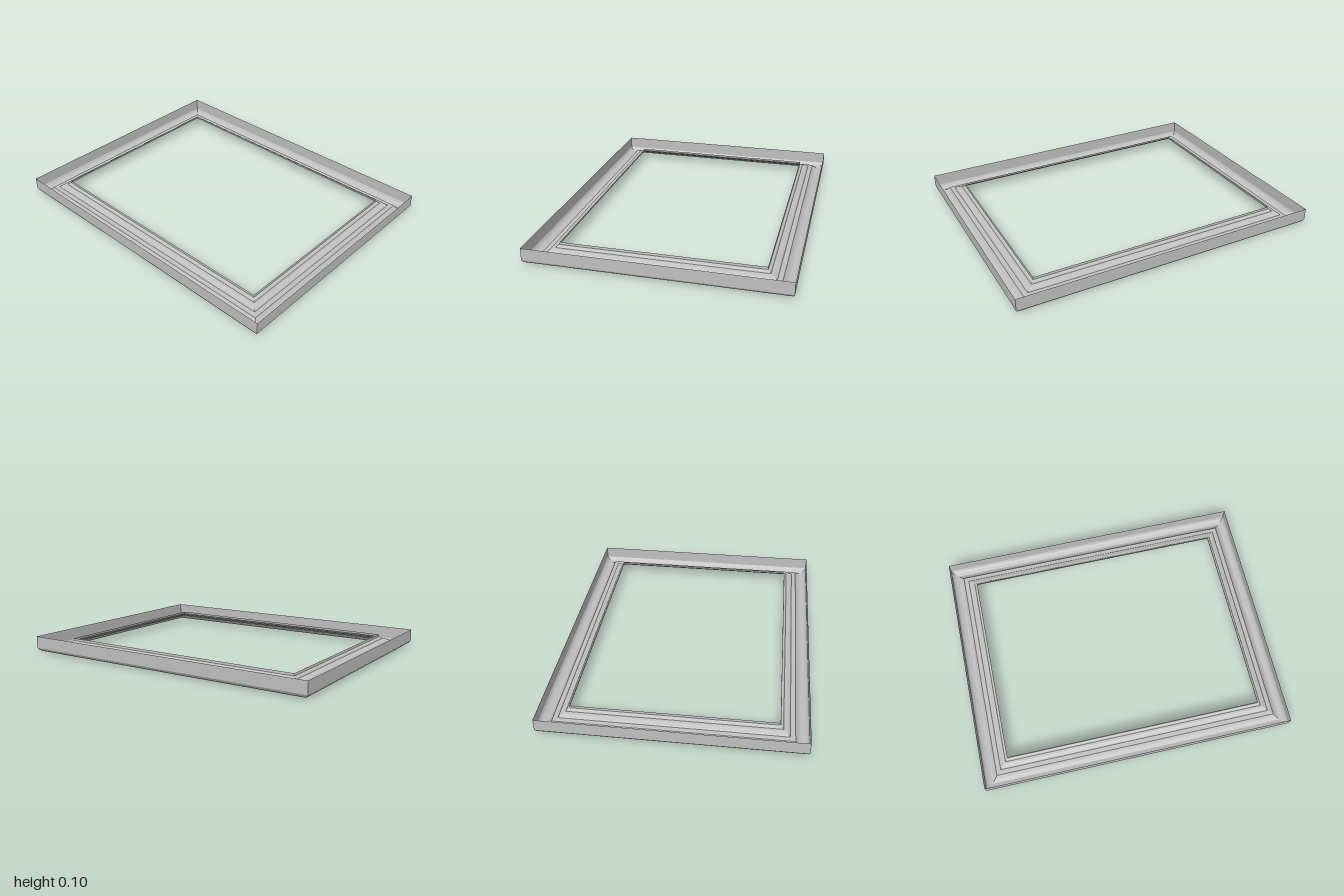
import * as THREE from 'three';

const HALF_X = 0.79, HALF_Z = 1.0;

// Moulding cross-section: [distance in from the outer edge, height]
const wall = [[0, 0.105], [0, 0.027]];
const roundedEdge = [[0, 0.027], [0.008, 0.014], [0.02, 0.006], [0.04, 0]];
const outerCove = [[0.04, 0], [0.05, 0.003], [0.063, 0.011], [0.075, 0.024]];
const middleStep = [[0.075, 0.024], [0.08, 0.032], [0.11, 0.034]];
const innerCove = [[0.11, 0.034], [0.116, 0.042], [0.135, 0.05]];
const innerLip = [[0.135, 0.05], [0.15, 0.052], [0.155, 0.06], [0.168, 0.066], [0.17, 0.081]];

// Sweep a stretch of profile around the rectangle with mitred corners
function mitredRing(profile) {
  const signs = [[-1, 1], [1, 1], [1, -1], [-1, -1]];
  const corner = (k, [d, y]) => {
    const [sx, sz] = signs[k % 4];
    return [sx * (HALF_X - d), y, sz * (HALF_Z - d)];
  };
  const positions = [];
  for (let k = 0; k < 4; k++) {
    for (let i = 0; i < profile.length - 1; i++) {
      const a = corner(k, profile[i]), b = corner(k + 1, profile[i]);
      const c = corner(k + 1, profile[i + 1]), d = corner(k, profile[i + 1]);
      positions.push(...a, ...d, ...c, ...a, ...c, ...b);
    }
  }
  const geometry = new THREE.BufferGeometry();
  geometry.setAttribute('position', new THREE.Float32BufferAttribute(positions, 3));
  geometry.computeVertexNormals();
  return geometry;
}

export function createModel() {
  const grey = new THREE.MeshStandardMaterial({ color: 0xc0c0c0, side: THREE.DoubleSide });
  grey.name = 'frameGrey';

  const frame = new THREE.Group();
  frame.name = 'pictureFrame';
  const parts = { outerWall: wall, roundedEdge, outerCove, middleStep, innerCove, innerLip };
  for (const [name, profile] of Object.entries(parts)) {
    const mesh = new THREE.Mesh(mitredRing(profile), grey);
    mesh.name = name;
    frame.add(mesh);
  }
  return frame;
}
